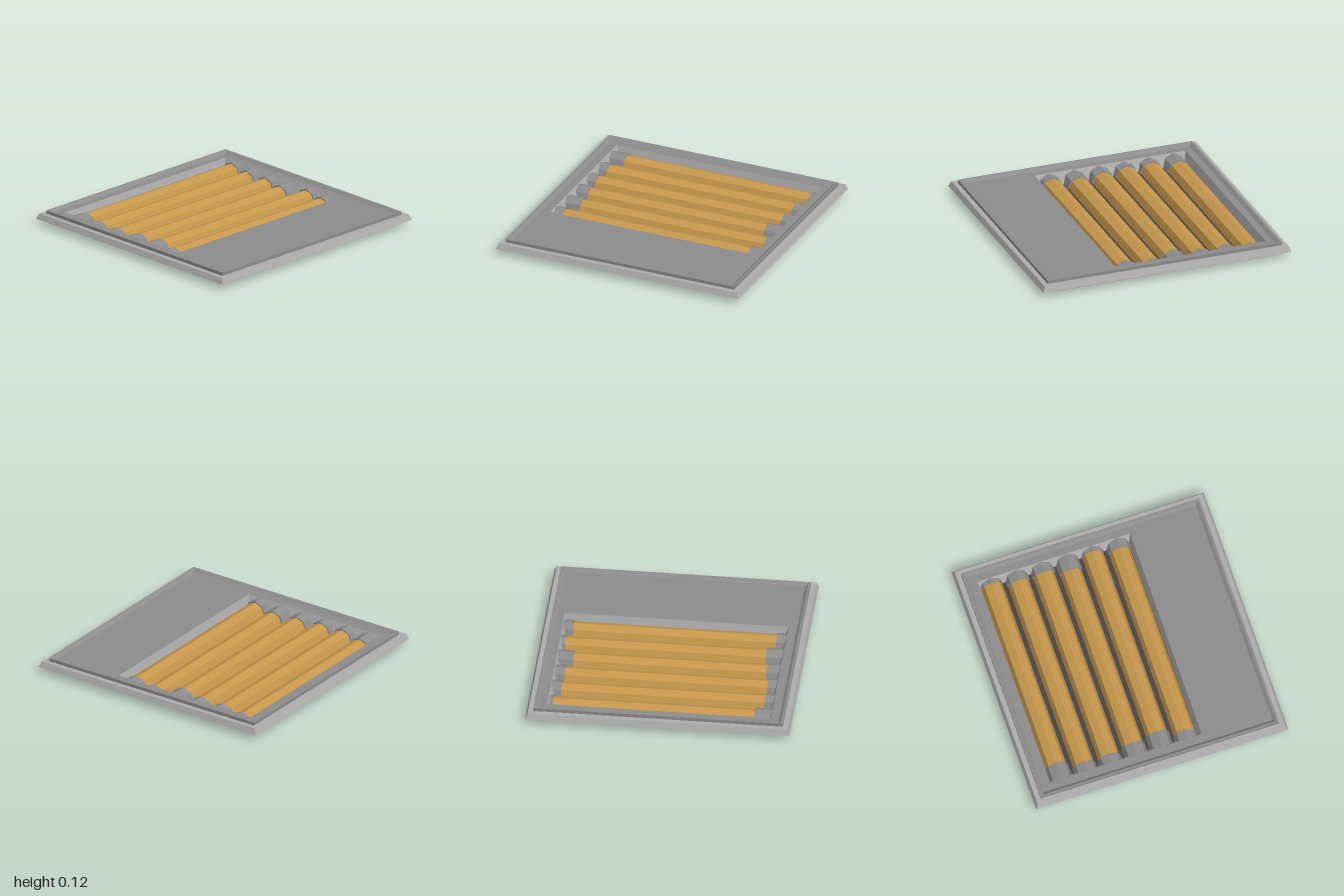
import * as THREE from 'three';

const paint = (color) =>
  new THREE.MeshStandardMaterial({ color, flatShading: true, side: THREE.DoubleSide });
const lightGrey = paint(0xacacac);
const midGrey = paint(0x8c8c8c);
const darkGrey = paint(0x454545);
const amber = paint(0xc6974c);

// Square loop of half-width h at height y, as [x0, x1, z0, z1, y]
const square = (h, y) => [-h, h, -h, h, y];

// Joins rectangular loops into a surface, optionally closing the first loop from below
function loft(loops, closeBottom) {
  const pos = [];
  const corners = loops.map(([x0, x1, z0, z1, y]) =>
    [[x0, y, z1], [x1, y, z1], [x1, y, z0], [x0, y, z0]]);
  const quad = (a, b, c, d) => pos.push(...a, ...b, ...c, ...a, ...c, ...d);
  for (let i = 0; i + 1 < corners.length; i++) {
    for (let k = 0; k < 4; k++) {
      const n = (k + 1) % 4;
      quad(corners[i][k], corners[i][n], corners[i + 1][n], corners[i + 1][k]);
    }
  }
  if (closeBottom) {
    const [a, b, c, d] = corners[0];
    quad(d, c, b, a);
  }
  const g = new THREE.BufferGeometry();
  g.setAttribute('position', new THREE.Float32BufferAttribute(pos, 3));
  g.computeVertexNormals();
  return g;
}

// Upper half of an octagonal bar running from z0 to z1
function halfBar(r, z0, z1) {
  const pts = [];
  for (let i = 0; i <= 4; i++) {
    const a = (i * Math.PI) / 4;
    pts.push(new THREE.Vector2(r * Math.cos(a), r * Math.sin(a)));
  }
  const g = new THREE.ExtrudeGeometry(new THREE.Shape(pts), { depth: z1 - z0, bevelEnabled: false });
  return g.translate(0, 0.002, z0);
}

function add(parent, name, geometry, material) {
  const mesh = new THREE.Mesh(geometry, material);
  mesh.name = name;
  parent.add(mesh);
}

export function createModel() {
  const model = new THREE.Group();
  model.name = 'floorTile';

  // Sloped outer border, open underneath
  add(model, 'outerFrame', loft([
    square(1, 0.048), square(0.982, 0.09), square(0.944, 0.09),
  ], false), lightGrey);

  // Base slab flaring up to the border
  add(model, 'baseSlab', loft([square(0.91, 0), square(0.943, 0.09)], true), lightGrey);

  // Raised lip and sunken panel around the trench opening
  const opening = [-0.85, 0.366, -0.85, 0.842, 0.096];
  add(model, 'panel', loft([
    square(0.944, 0.09), square(0.944, 0.115), square(0.928, 0.115), square(0.905, 0.096), opening,
  ], false), midGrey);

  // Tapered trench walls and dark floor
  const bottom = [-0.825, 0.341, -0.81, 0.802, 0.004];
  add(model, 'trenchWalls', loft([opening, bottom], false), lightGrey);
  const [x0, x1, z0, z1, y] = bottom;
  add(model, 'trenchFloor', new THREE.PlaneGeometry(x1 - x0, z1 - z0)
    .rotateX(-Math.PI / 2).translate((x0 + x1) / 2, y, (z0 + z1) / 2), darkGrey);

  // Pipes: where the back collar ends and the front collar starts
  const collars = [
    [-0.81, 0.71], [-0.77, 0.765], [-0.77, 0.765],
    [-0.725, 0.735], [-0.81, 0.71], [-0.77, 0.765],
  ];
  collars.forEach(([back, front], i) => {
    const pipe = new THREE.Group();
    pipe.name = `pipe${i + 1}`;
    pipe.position.x = -0.745 + i * 0.2;
    add(pipe, 'tube', halfBar(0.083, back - 0.01, front + 0.01), amber);
    add(pipe, 'backCollar', halfBar(0.092, -0.85, back), midGrey);
    add(pipe, 'frontCollar', halfBar(0.092, front, 0.842), midGrey);
    model.add(pipe);
  });

  return model;
}
